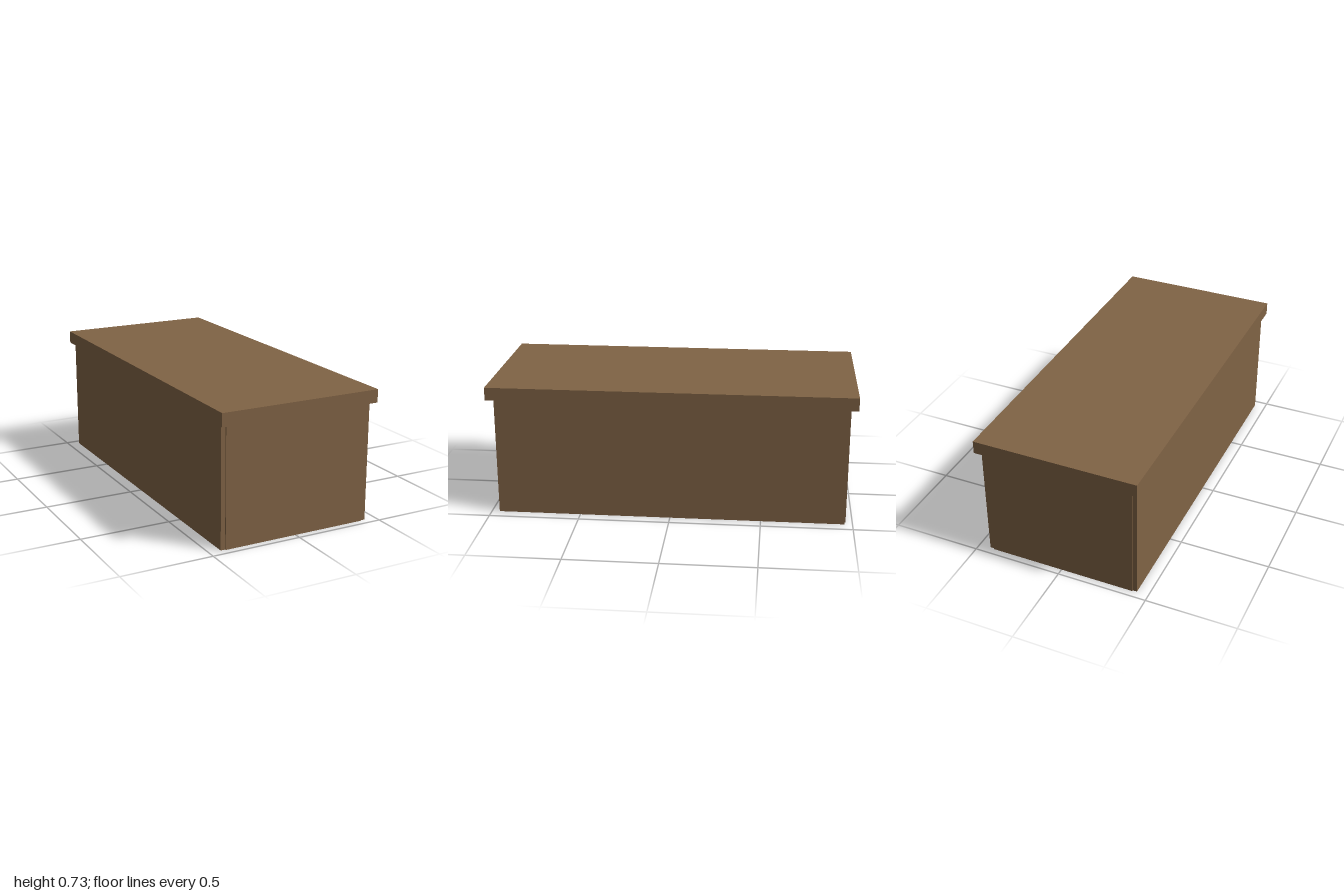
import * as THREE from 'three';

export function createModel() {
  const group = new THREE.Group();
  const wood = new THREE.MeshStandardMaterial({ color: 0x806345 });
  wood.name = 'brown wood';

  // Box given by its minimum and maximum corners
  function board(name, min, max) {
    const size = max.map((v, i) => v - min[i]);
    const mesh = new THREE.Mesh(new THREE.BoxGeometry(...size), wood);
    mesh.position.set(...max.map((v, i) => (v + min[i]) / 2));
    mesh.name = name;
    group.add(mesh);
  }

  const wallTop = 0.657, lidTop = 0.728;
  const outerX = 0.435, innerX = 0.368, panelX = 0.41;
  const outerZ = 0.957, innerZ = 0.89, panelZ = 0.963;

  // Overhanging lid
  board('lid', [-0.453, wallTop, -1], [0.453, lidTop, 1]);

  // Long side walls, the full length of the box
  board('leftWall', [innerX, 0, -outerZ], [outerX, wallTop, outerZ]);
  board('rightWall', [-outerX, 0, -outerZ], [-innerX, wallTop, outerZ]);

  // End walls between the sides, open underneath
  board('frontWall', [-innerX, 0, innerZ], [innerX, wallTop, outerZ]);
  board('backWall', [-innerX, 0, -outerZ], [innerX, wallTop, -innerZ]);

  // Slightly raised end panels leave a narrow strip at each corner
  board('frontPanel', [-panelX, 0, outerZ], [panelX, wallTop, panelZ]);
  board('backPanel', [-panelX, 0, -panelZ], [panelX, wallTop, -outerZ]);

  return group;
}
